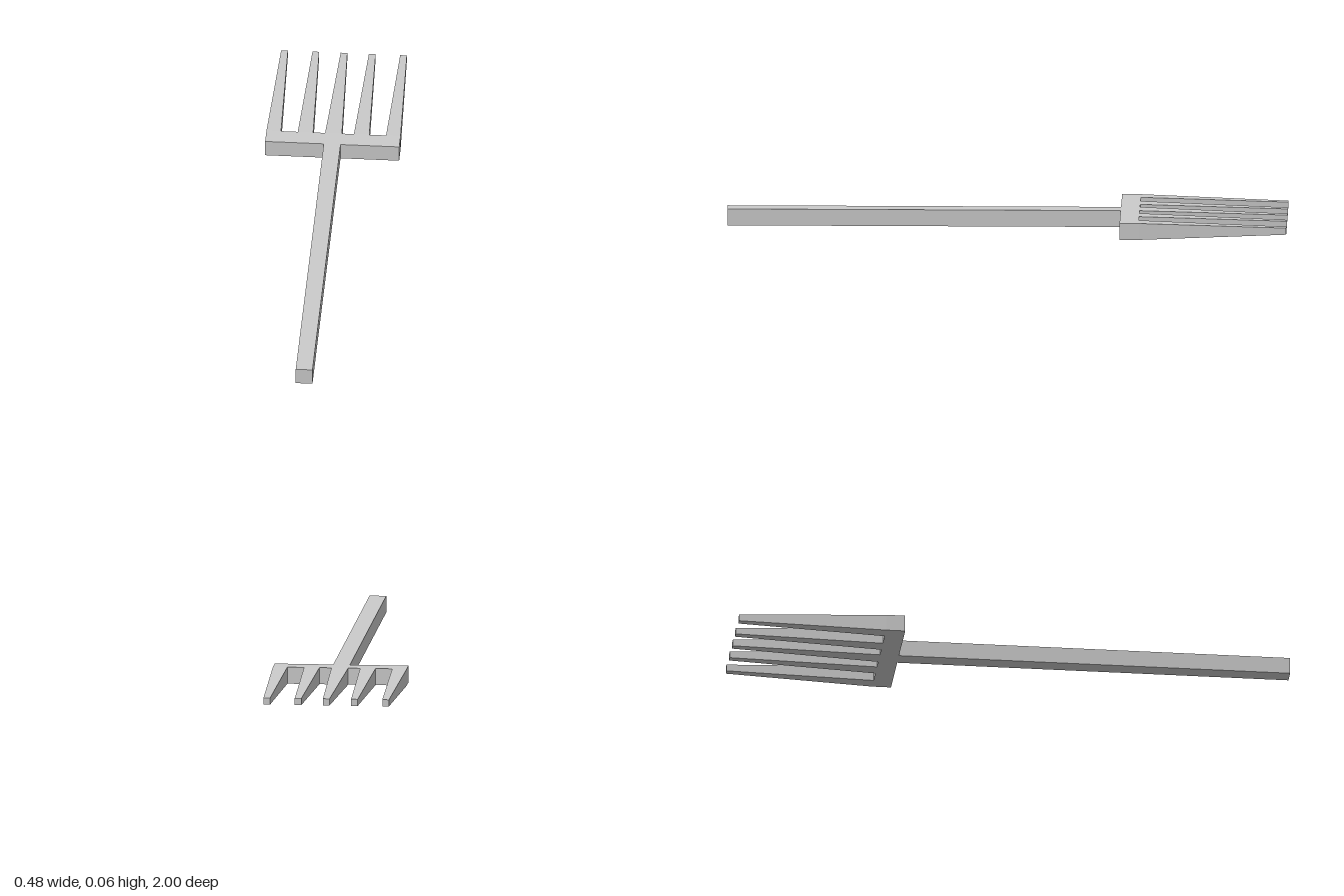
import * as THREE from 'three';

const material = new THREE.MeshStandardMaterial({ color: 0xcccccc, flatShading: true });
const T = 0.06; // thickness of the bar stock
const HEAD_FRONT = -0.405, HEAD_BACK = -0.473, TIP = -1;

// Box given by its half width and z range, resting on the ground
function bar(name, halfWidth, z0, z1) {
  const geometry = new THREE.BoxGeometry(halfWidth * 2, T, z1 - z0);
  geometry.translate(0, T / 2, (z0 + z1) / 2);
  const mesh = new THREE.Mesh(geometry, material);
  mesh.name = name;
  return mesh;
}

// Four-sided prong narrowing from the full bar thickness to a small square tip
function tine(name, x0, x1, tipX) {
  const geometry = new THREE.BoxGeometry(1, 1, 1);
  const p = geometry.attributes.position;
  const tipHalf = 0.012;
  for (let i = 0; i < p.count; i++) {
    const sx = p.getX(i) * 2, sy = p.getY(i) * 2;
    if (p.getZ(i) < 0) p.setXYZ(i, tipX + sx * tipHalf, T / 2 + sy * tipHalf, TIP);
    else p.setXYZ(i, sx < 0 ? x0 : x1, T / 2 + sy * T / 2, HEAD_BACK);
  }
  geometry.computeVertexNormals();
  const mesh = new THREE.Mesh(geometry, material);
  mesh.name = name;
  return mesh;
}

export function createModel() {
  const fork = new THREE.Group();
  fork.name = 'fork';

  // Long square handle and the crossbar at its end
  fork.add(bar('handle', 0.03, HEAD_FRONT, 1));
  fork.add(bar('crossbar', 0.24, HEAD_BACK, HEAD_FRONT));

  // Five tines, mirrored about the middle one
  fork.add(tine('middleTine', -0.03, 0.03, 0));
  for (const [side, s] of [['left', 1], ['right', -1]]) {
    for (const [part, a, b, tip] of [['InnerTine', 0.073, 0.128, 0.101], ['OuterTine', 0.188, 0.24, 0.213]]) {
      fork.add(tine(side + part, Math.min(s * a, s * b), Math.max(s * a, s * b), s * tip));
    }
  }
  return fork;
}
